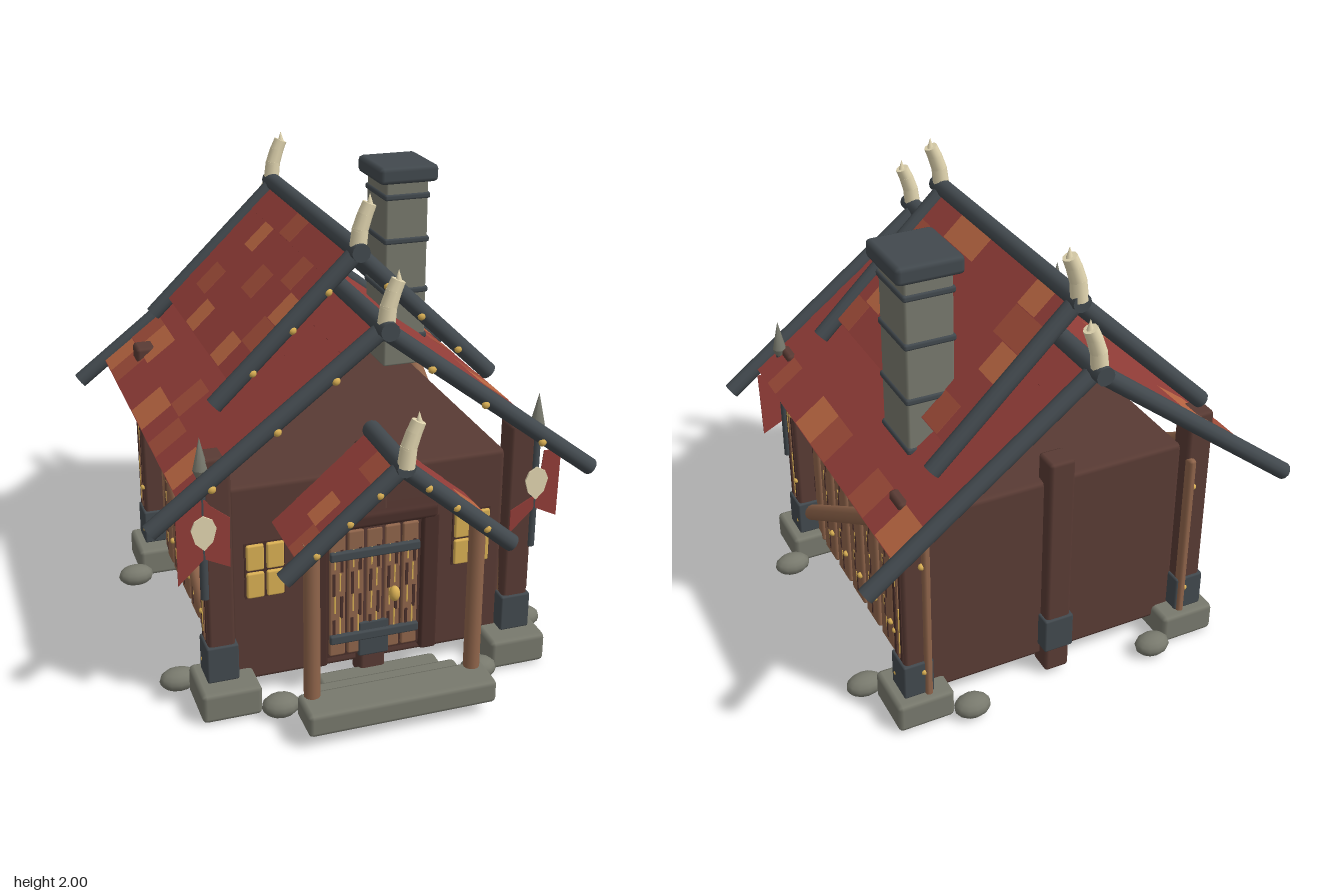
import * as THREE from 'three';
import { RoundedBoxGeometry } from 'three/addons/geometries/RoundedBoxGeometry.js';

const mat = (name, color) => Object.assign(new THREE.MeshStandardMaterial({ color }), { name });
const M = {
  dark: mat('dark wood', 0x593b34), wood: mat('light wood', 0x90654b),
  trim: mat('trim wood', 0x4a2f2a), iron: mat('iron', 0x42494e),
  stone: mat('stone', 0x78796d), red: mat('roof red', 0x923d38),
  rust: mat('roof rust', 0x9f4c39), orange: mat('roof orange', 0xb86541),
  gold: mat('gold', 0xdab054), bone: mat('bone', 0xe2d6b0),
};
const V = (x, y, z) => new THREE.Vector3(x, y, z);

function seeded(s) {
  return () => (s = (s * 16807) % 2147483647) / 2147483647;
}

export function createModel() {
  const root = new THREE.Group();
  root.name = 'cottage';

  const add = (name, geo, m, x = 0, y = 0, z = 0, parent = root) => {
    const mesh = new THREE.Mesh(geo, m);
    mesh.name = name;
    mesh.position.set(x, y, z);
    parent.add(mesh);
    return mesh;
  };
  const box = (name, m, w, h, d, x, y, z, parent) =>
    add(name, new THREE.BoxGeometry(w, h, d), m, x, y, z, parent);
  const block = (name, m, w, h, d, x, y, z, r = 0.015) =>
    add(name, new RoundedBoxGeometry(w, h, d, 1, r), m, x, y, z);
  const pole = (name, m, a, b, r) => {
    const dir = b.clone().sub(a);
    const mid = a.clone().add(b).multiplyScalar(0.5);
    const p = add(name, new THREE.CylinderGeometry(r, r, dir.length(), 12), m, mid.x, mid.y, mid.z);
    p.quaternion.setFromUnitVectors(V(0, 1, 0), dir.normalize());
  };
  const ball = (name, m, x, y, z, sx, sy = sx, sz = sx) =>
    add(name, new THREE.SphereGeometry(1, 12, 8), m, x, y, z).scale.set(sx, sy, sz);

  // Body, stone footings and timber posts
  const ZF = 0.56, ZB = -0.665;
  block('body', M.dark, 1.16, 0.87, ZF - ZB, 0, 0.515, (ZF + ZB) / 2, 0.02);
  for (const z of [ZF, ZB]) {
    const out = z > 0 ? 1 : -1;
    for (const s of [-1, 0, 1]) {
      const x = s * 0.63;
      const low = s ? 0.1 : 0.025, top = [1.11, 1.06, 1.075][s + 1];
      block('post', M.dark, 0.11, top - low, 0.11, x, (top + low) / 2, z);
      block('postCollar', M.iron, 0.13, 0.16, 0.13, x, 0.22, z, 0.008);
      if (!s) continue;
      const fz = z > 0 ? 0.58 : -0.645;
      block('footing', M.stone, 0.245, 0.13, 0.25, s * 0.615, 0.075, fz, 0.02);
      ball('footingStone', M.stone, s * 0.77, 0.05, fz - out * 0.165, 0.08, 0.048, 0.056);
      ball('footingStone', M.stone, s * 0.425, 0.05, fz + out * 0.14, 0.078, 0.048, 0.06);
      // Weathered strips and nails on the outer post face
      [-0.03, 0, 0.03].forEach((dz, i) =>
        box('postGrain', i === 1 ? M.wood : M.trim, 0.006, 0.62, 0.018, s * 0.686, 0.62, z + dz));
      box('postGrain', M.gold, 0.006, 0.25, 0.006, s * 0.688, 0.78, z + 0.012);
      box('postGrain', M.gold, 0.006, 0.22, 0.006, s * 0.688, 0.45, z - 0.014);
      for (const y of [0.2, 0.42, 0.77]) ball('nail', M.gold, s * 0.687, y, z - out * 0.035, 0.012);
    }
  }

  // Side walls: planks, rail, brace and nails
  for (const s of [-1, 1]) {
    for (let i = 0; i < 8; i++) {
      const z = 0.515 - 0.17 * i;
      block('wallPlank', M.wood, 0.03, 0.81, 0.14, s * 0.59, 0.505, z, 0.012);
      for (let k = 0; k < 7; k++) {
        const y = 0.18 + 0.105 * k, dz = k % 2 ? 0.01 : -0.01;
        box('plankGrain', M.trim, 0.004, 0.085, 0.009, s * 0.606, y, z + dz);
        box('plankGrain', M.gold, 0.004, 0.05, 0.005, s * 0.606, y + 0.03, z + dz + 0.009);
      }
      for (const y of [0.25, 0.77]) ball('nail', M.gold, s * 0.607, y, z - 0.05, 0.014);
    }
    pole('wallRail', M.iron, V(s * 0.625, 0.722, 0.6), V(s * 0.625, 0.722, -0.63), 0.032);
    pole('wallBrace', M.wood, V(s * 0.63, 0.235, 0.51), V(s * 0.63, 0.93, -0.62), 0.037);
  }

  // Door with frame, planks, straps and handle
  for (const s of [-1, 1]) block('doorJamb', M.trim, 0.07, 0.62, 0.1, s * 0.235, 0.44, 0.585, 0.01);
  block('doorLintel', M.trim, 0.53, 0.065, 0.11, 0, 0.763, 0.585, 0.02);
  box('doorBack', M.trim, 0.4, 0.58, 0.045, 0, 0.44, 0.585);
  for (let i = 0; i < 5; i++) {
    const x = (i - 2) * 0.077;
    block('doorPlank', M.wood, 0.068, 0.56, 0.05, x, 0.44, 0.594, 0.008);
    for (let k = 0; k < 4; k++) {
      box('doorGrain', M.trim, 0.012, 0.1, 0.004, x + (k % 2 ? 0.016 : -0.016), 0.28 + 0.105 * k, 0.62);
      box('doorGrain', M.gold, 0.006, 0.08, 0.004, x + (k % 2 ? -0.012 : 0.01), 0.3 + 0.1 * k, 0.62);
    }
  }
  for (const y of [0.62, 0.243]) block('doorStrap', M.iron, 0.38, 0.04, 0.025, 0, y, 0.625, 0.008);
  ball('doorHandle', M.gold, 0.08, 0.42, 0.64, 0.023, 0.034, 0.023);

  // Windows
  for (const s of [-1, 1]) {
    const cx = s * 0.438;
    box('windowFrame', M.trim, 0.165, 0.245, 0.008, cx, 0.585, 0.563);
    for (const i of [-1, 1]) for (const j of [-1, 1])
      block('windowPane', M.gold, 0.072, 0.112, 0.02, cx + i * 0.041, 0.585 + j * 0.061, 0.572, 0.008);
  }

  // Entrance slabs and porch posts
  block('step', M.stone, 0.78, 0.1, 0.17, 0, 0.108, 0.9, 0.02);
  block('step', M.stone, 0.64, 0.075, 0.17, 0, 0.075, 0.79, 0.02);
  block('step', M.stone, 0.52, 0.06, 0.17, 0.02, 0.045, 0.67, 0.018);
  for (const s of [-1, 1]) pole('porchPost', M.wood, V(s * 0.335, 0.14, 0.845), V(s * 0.335, 0.82, 0.845), 0.033);

  // Bone horn with a small spike
  function horn(x, y, z) {
    const g = new THREE.Group();
    g.name = 'horn';
    g.position.set(x, y, z);
    root.add(g);
    const pts = [V(0, 0, 0), V(0.008, 0.07, 0), V(0.026, 0.125, 0), V(0.043, 0.165, 0)];
    for (let i = 0; i < 3; i++) {
      const d = pts[i + 1].clone().sub(pts[i]);
      const c = pts[i].clone().addScaledVector(d, 0.5);
      const seg = add('hornSegment', new THREE.CylinderGeometry(0.032 - i * 0.002, 0.034 - i * 0.002, d.length() + 0.012, 10),
        M.bone, c.x, c.y, c.z, g);
      seg.quaternion.setFromUnitVectors(V(0, 1, 0), d.normalize());
    }
    add('hornTip', new THREE.ConeGeometry(0.014, 0.045, 8), M.bone, 0.046, 0.187, 0, g);
  }

  // Gabled roof: courses with odd-coloured tiles, rafters, ridge and horns
  function roof(name, o) {
    const rand = seeded(o.seed);
    const angle = Math.atan(o.slope), len = o.eave / Math.cos(angle);
    const depth = o.z1 - o.z0, zc = (o.z0 + o.z1) / 2, cw = len / o.courses;
    const cols = Math.round(depth / 0.2), half = o.thick / 2;
    for (const s of [-1, 1]) {
      const slope = new THREE.Group();
      slope.name = name + 'Slope';
      slope.position.set(0, o.apex - o.drop, zc);
      slope.rotation.z = -s * angle;
      root.add(slope);
      for (let c = 0; c < o.courses; c++) {
        const course = new THREE.Group();
        course.position.x = s * (c + 0.5) * cw;
        course.rotation.z = s * 0.015;
        slope.add(course);
        box(name + 'Course', M.red, cw + 0.006, o.thick, depth, 0, 0, 0, course);
        // Upper tiles: side, course, z from, z to, colour
        for (const [side, row, a, b, m] of o.tiles)
          if (side === s && row === c) box('tile', m, cw, 0.004, b - a, 0, half, (a + b) / 2 - zc, course);
        // Tiles seen from below
        for (let k = 0; k < cols; k++) {
          const r = rand(), w = depth / cols;
          if (r < 0.38) box('tile', r < 0.18 ? M.orange : M.rust, cw, 0.004, w, 0, -half, (k + 0.5) * w - depth / 2, course);
        }
      }
      // Rafters sit just under the ridge pole, with studs on the front pair
      const ry = o.apex - 0.013;
      for (const z of o.rafters)
        pole(name + 'Rafter', M.iron, V(0, ry, z), V(s * o.reach, ry - o.reach * o.slope, z), 0.035);
      for (const t of [0.21, 0.46, 0.74])
        ball('stud', M.gold, s * o.reach * t, ry - o.reach * t * o.slope - o.studDrop, o.rafters[0] + 0.026, 0.017, 0.017, 0.013);
    }
    pole(name + 'Ridge', M.iron, V(0, o.apex, o.ridge[0]), V(0, o.apex, o.ridge[1]), 0.037);
    for (const z of o.horns) horn(0, o.apex + 0.01, z);
  }
  roof('mainRoof', { seed: 4211, apex: 1.58, slope: 0.765, eave: 0.775, reach: 0.905, courses: 6, thick: 0.03, drop: 0.028, studDrop: 0.028,
    z0: -0.88, z1: 0.645, rafters: [0.67, -0.915], ridge: [-0.99, 0.75], horns: [0.7, -0.945],
    tiles: [
      [1, 5, -0.035, 0.14, M.orange], [1, 5, 0.4, 0.5, M.rust], [1, 5, -0.19, -0.035, M.rust],
      [1, 5, -0.87, -0.72, M.orange], [1, 5, -0.6, -0.45, M.rust],
      [-1, 5, -0.88, -0.74, M.orange], [-1, 5, -0.74, -0.6, M.rust], [-1, 5, -0.25, -0.04, M.orange],
      [-1, 5, 0.1, 0.24, M.rust], [-1, 5, 0.4, 0.55, M.orange],
      [-1, 4, -0.88, -0.74, M.rust], [-1, 4, -0.74, -0.53, M.orange], [-1, 4, -0.04, 0.1, M.rust],
    ] });
  roof('upperRoof', { seed: 977, apex: 1.785, slope: 0.965, eave: 0.495, reach: 0.575, courses: 5, thick: 0.024, drop: 0.02, studDrop: 0.02,
    z0: -0.74, z1: 0.345, rafters: [0.37, -0.765], ridge: [-0.81, 0.43], horns: [0.387, -0.785],
    tiles: [
      [1, 0, -0.13, 0.13, M.orange], [1, 0, -0.65, -0.52, M.orange], [1, 1, 0.26, 0.345, M.rust],
      [1, 1, 0, 0.13, M.rust], [1, 1, -0.74, -0.52, M.rust], [1, 2, -0.165, -0.04, M.orange],
      [1, 2, 0.13, 0.345, M.rust], [1, 2, -0.74, -0.6, M.orange], [1, 3, 0.13, 0.26, M.orange],
      [1, 3, -0.26, -0.04, M.rust], [1, 4, 0.22, 0.345, M.rust], [1, 4, -0.66, -0.53, M.rust],
      [-1, 4, -0.39, -0.26, M.orange], [-1, 4, 0.04, 0.17, M.orange], [-1, 3, 0.17, 0.345, M.rust],
      [-1, 3, -0.6, -0.45, M.rust], [-1, 2, 0.2, 0.345, M.orange], [-1, 2, -0.2, -0.05, M.rust],
      [-1, 1, -0.5, -0.38, M.orange], [-1, 1, 0.05, 0.18, M.rust], [-1, 0, -0.3, -0.15, M.rust],
    ] });
  roof('porchRoof', { seed: 3307, apex: 1.12, slope: 0.85, eave: 0.395, reach: 0.46, courses: 4, thick: 0.024, drop: 0.01, studDrop: 0.006,
    z0: 0.56, z1: 0.88, rafters: [0.895], ridge: [0.56, 0.94], horns: [0.93],
    tiles: [
      [1, 0, 0.62, 0.74, M.orange], [1, 1, 0.74, 0.86, M.rust], [1, 3, 0.66, 0.78, M.orange],
      [-1, 0, 0.72, 0.86, M.rust], [-1, 2, 0.7, 0.8, M.orange], [-1, 3, 0.78, 0.88, M.rust],
    ] });

  // Chimney
  const CX = 0.463, CZ = -0.403;
  const joints = [1.02, 1.155, 1.37, 1.6, 1.795, 1.87];
  for (let i = 0; i < 5; i++) {
    const h = joints[i + 1] - joints[i];
    block('chimneyBlock', M.stone, 0.195, h, 0.245, CX, joints[i] + h / 2, CZ, 0.01);
    if (i) block('chimneyBand', M.iron, 0.21, 0.028, 0.26, CX, joints[i], CZ, 0.01);
  }
  block('chimneyCap', M.iron, 0.27, 0.075, 0.3, CX, 1.893, CZ, 0.02);

  // Spears with swallow-tailed banners, each tucked behind its post at the inner top
  const sheet = (pts, depth) => new THREE.ExtrudeGeometry(
    new THREE.Shape(pts.map(([x, y]) => new THREE.Vector2(x, y))), { depth, bevelEnabled: false });
  const tail = [[-0.105, 0.6], [0, 0.7], [0.1, 0.65]];
  const banners = {
    '-1': [...tail, [0.105, 0.86], [0.03, 0.92], [0.01, 0.95], [-0.105, 0.95]],
    '1': [...tail, [0.105, 0.95], [0.03, 0.95], [0.01, 0.76], [-0.105, 0.7]],
  };
  const leaf = [[0, 0.74], [0.035, 0.775], [0.05, 0.83], [0.035, 0.865], [0, 0.885],
    [-0.035, 0.865], [-0.05, 0.83], [-0.035, 0.775]];
  for (const s of [-1, 1]) {
    const x = s * 0.69;
    pole('spearShaft', M.iron, V(x, 0.52, 0.605), V(x, 1.07, 0.605), 0.017);
    add('spearTip', new THREE.ConeGeometry(0.03, 0.13, 8), M.stone, x, 1.135, 0.605);
    add('spearSocket', new THREE.CylinderGeometry(0.03, 0.014, 0.04, 8), M.stone, x, 1.05, 0.605);
    add('banner', sheet(banners[s], 0.005), M.red, x, 0, 0.616);
    add('bannerLeaf', sheet(leaf, 0.008), M.bone, x, 0, 0.622);
  }
  return root;
}
